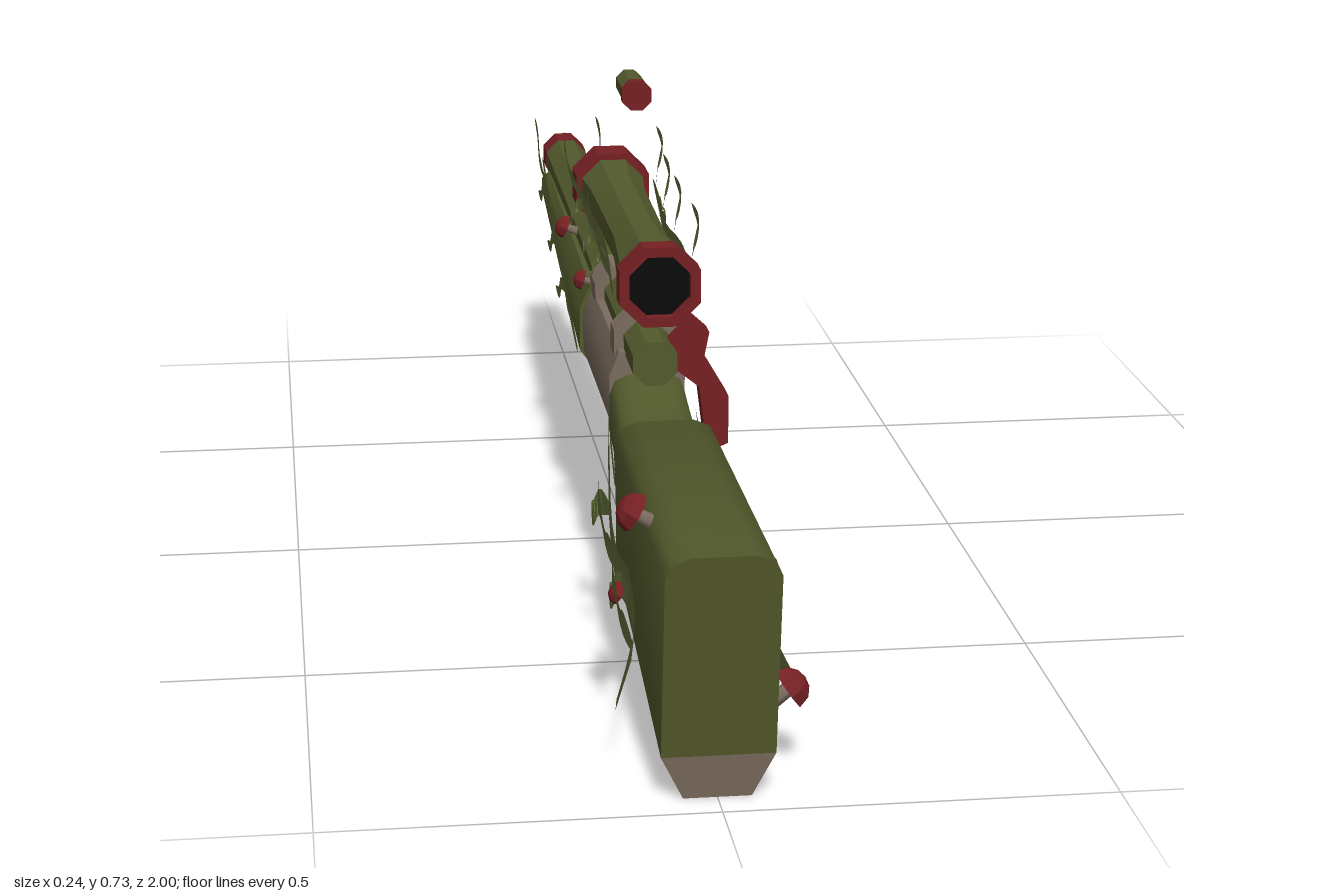
import * as THREE from 'three';
import { toCreasedNormals } from 'three/addons/utils/BufferGeometryUtils.js';

const paint = (name, color, extra = {}) => {
  const m = new THREE.MeshStandardMaterial({ color, ...extra });
  m.name = name;
  return m;
};

export function createModel() {
  const olive = paint('olive', 0x535a2c);
  const leafGreen = paint('leaf green', 0x626f3a, { side: THREE.DoubleSide });
  const brown = paint('grey brown', 0x7b6c5f);
  const red = paint('dark red', 0x752023);
  const black = paint('lens black', 0x0b0b0c);
  const model = new THREE.Group();
  model.name = 'rifle';

  const add = (name, geo, mat, parent = model) => {
    const mesh = new THREE.Mesh(geo, mat);
    mesh.name = name;
    parent.add(mesh);
    return mesh;
  };
  const flat = (geo) => toCreasedNormals(geo, 0.3);
  const points = (list) => list.map(([a, b]) => new THREE.Vector2(a, b));

  // Closed loft through rings ordered from +z to -z, each counterclockwise seen from +z
  function loft(rings) {
    const n = rings[0].length, last = (rings.length - 1) * n, idx = [];
    for (let i = 0; i < rings.length - 1; i++) {
      for (let j = 0; j < n; j++) {
        const a = i * n + j, b = i * n + (j + 1) % n;
        idx.push(a, a + n, b, b, a + n, b + n);
      }
    }
    for (let j = 1; j < n - 1; j++) idx.push(0, j, j + 1, last, last + j + 1, last + j);
    const geo = new THREE.BufferGeometry();
    geo.setAttribute('position', new THREE.Float32BufferAttribute(rings.flat(2), 3));
    geo.setIndex(idx);
    return toCreasedNormals(geo, 0.9);
  }
  // Mirrors the +x half of a ring, listed from the bottom up
  const mirror = (half) => [...half, ...half.map(([x, y, z]) => [-x, y, z]).reverse()];

  // Eight-sided turned part along z; profile is [radius, z] with z rising
  const turned = (name, profile, y, mat) => {
    const geo = new THREE.LatheGeometry(points(profile), 8);
    geo.rotateY(Math.PI / 8).rotateX(Math.PI / 2).translate(0, y, 0);
    return add(name, flat(geo), mat);
  };
  const rod = (name, z0, z1, r0, r1, y, mat) =>
    turned(name, [[0, z0], [r0, z0], [r1, z1], [0, z1]], y, mat);

  // Flat plate drawn in (z, y) and given a width across x
  const plate = (name, pts, width, mat, hole) => {
    const shape = new THREE.Shape(points(pts));
    if (hole) shape.holes.push(new THREE.Path(points(hole)));
    const geo = new THREE.ExtrudeGeometry(shape, { depth: width, bevelEnabled: false });
    geo.translate(0, 0, -width / 2).rotateY(-Math.PI / 2);
    return add(name, geo, mat);
  };

  // Stock: [z top, z bottom, y top, y seam, y bottom, half width]
  const stock = [
    [1, 0.955, 0.335, 0.062, 0.003, 0.072],
    [0.45, 0.47, 0.332, 0.135, 0.1, 0.07],
    [0.405, 0.42, 0.298, 0.145, 0.112, 0.062],
    [0.33, 0.33, 0.315, 0.19, 0.165, 0.055],
    [0.295, 0.295, 0.325, 0.24, 0.218, 0.054],
    [0.23, 0.23, 0.34, 0.255, 0.238, 0.054],
  ];
  const stockRing = ([zt, zb, t, , b], half) =>
    mirror(half.map(([x, y]) => [x, y, zb + (zt - zb) * (y - b) / (t - b)]));
  add('stock', loft(stock.map((s) => {
    const [, , t, seam, , w] = s;
    return stockRing(s, [[w, seam], [w, t - 0.028], [w * 0.87, t - 0.009], [w * 0.55, t]]);
  })), olive);
  add('stockBelly', loft(stock.map((s) => {
    const [, , , seam, b, w] = s;
    return stockRing(s, [[w * 0.6, b], [w, seam]]);
  })), brown);

  // Receiver and fore-end share one chamfered section: [z, y top, y bottom, half width]
  const body = (list) => loft(list.map(([z, t, b, w]) => {
    const h = (t - b) * 0.25;
    return mirror([[w * 0.6, b, z], [w, b + h, z], [w, t - h, z], [w * 0.75, t, z]]);
  }));
  add('receiver', body([[0.245, 0.37, 0.237, 0.054], [-0.08, 0.375, 0.25, 0.058]]), brown);
  add('foreEnd', body([[-0.08, 0.38, 0.245, 0.063], [-0.45, 0.38, 0.288, 0.058],
    [-0.87, 0.375, 0.33, 0.048]]), olive);

  // Barrel, muzzle, bolt and receiver rings
  rod('barrel', -0.93, -0.08, 0.037, 0.042, 0.382, olive);
  turned('muzzle', [[0, -1], [0.026, -1], [0.038, -0.985], [0.038, -0.93], [0, -0.93]], 0.382, red);
  rod('bolt', -0.05, 0.335, 0.034, 0.034, 0.378, olive);
  rod('rearRing', 0.18, 0.225, 0.049, 0.049, 0.378, brown);
  rod('frontRing', -0.1, -0.025, 0.049, 0.049, 0.378, brown);
  const handle = new THREE.Shape(points([[0.02, 0.39], [0.03, 0.36], [0.068, 0.33], [0.078, 0.25],
    [0.09, 0.237], [0.11, 0.245], [0.11, 0.315], [0.075, 0.375], [0.082, 0.41], [0.06, 0.43]]));
  add('boltHandle', new THREE.ExtrudeGeometry(handle, { depth: 0.034, bevelEnabled: false })
    .translate(0, 0, 0.26), red);

  // Trigger, guard and grip stub
  plate('triggerGuard', [[0.22, 0.25], [0.22, 0.155], [0.165, 0.105], [0.045, 0.105],
    [-0.012, 0.155], [-0.012, 0.255]], 0.05, brown,
  [[0.2, 0.245], [0.2, 0.162], [0.157, 0.122], [0.055, 0.122], [0.01, 0.162], [0.01, 0.245]]);
  plate('trigger', [[0.185, 0.245], [0.165, 0.195], [0.135, 0.165], [0.115, 0.18],
    [0.14, 0.21], [0.14, 0.245]], 0.026, red);
  const stub = add('gripStub', flat(new THREE.LatheGeometry(
    points([[0, 0], [0.022, 0], [0.032, 0.018], [0.042, 0.14], [0, 0.14]]), 8)), brown);
  stub.position.set(0, 0.024, 0.358);
  stub.rotation.x = 0.5;

  // Scope with open rims, recessed lenses and two mounts
  turned('scopeTube', [[0, -0.2], [0.052, -0.2], [0.044, -0.12], [0.041, 0.16],
    [0.055, 0.355], [0, 0.355]], 0.503, olive);
  const rim = (name, z0, z1) => turned(name, [[0.046, z0], [0.061, z0], [0.061, z1],
    [0.046, z1], [0.046, z0]], 0.503, red);
  rim('scopeRearRim', 0.352, 0.387);
  rim('scopeFrontRim', -0.248, -0.19);
  rod('rearLens', 0.353, 0.372, 0.047, 0.047, 0.503, black);
  rod('frontLens', -0.228, -0.191, 0.047, 0.047, 0.503, black);
  for (const z of [0.2, -0.06]) {
    add('scopeMount', new THREE.BoxGeometry(0.02, 0.07, 0.022).translate(0, 0.445, z), brown);
  }

  // Floating cartridge
  rod('cartridgeRim', 0.103, 0.12, 0.023, 0.023, 0.715, red);
  rod('cartridgeCase', 0.02, 0.104, 0.02, 0.021, 0.715, olive);
  turned('cartridgeTip', [[0, -0.032], [0.012, -0.005], [0.019, 0.021], [0, 0.021]], 0.715, brown);

  // Tapered ribbon along a curve, lying along the side of the model
  function ribbon(name, curve, width, parent) {
    const n = 12, pos = [], idx = [];
    for (let i = 0; i <= n; i++) {
      const t = i / n, p = curve.getPoint(t), d = curve.getTangent(t);
      const w = width * 0.5 * Math.pow(Math.max(0, Math.sin(Math.PI * (0.06 + 0.94 * t))), 0.6);
      const len = Math.hypot(d.y, d.z) || 1, oy = d.z / len * w, oz = -d.y / len * w;
      pos.push(p.x, p.y + oy, p.z + oz, p.x, p.y - oy, p.z - oz);
      const a = i * 2;
      if (i < n) idx.push(a, a + 1, a + 2, a + 1, a + 3, a + 2);
    }
    const geo = new THREE.BufferGeometry();
    geo.setAttribute('position', new THREE.Float32BufferAttribute(pos, 3));
    geo.setIndex(idx);
    add(name, flat(geo), leafGreen, parent);
  }

  // Vine through (x, y, z) points with curling leaves alternating up and down; reach is the leaf's extent
  function vine(path, width, leaves, reach, side, parent) {
    const flip = new THREE.Vector3(side, 1, 1), [rx, ry, rz] = reach;
    const curve = new THREE.CatmullRomCurve3(path.map((p) => new THREE.Vector3(...p).multiply(flip)));
    ribbon('vine', curve, width, parent);
    for (let k = 0; k < leaves; k++) {
      const base = curve.getPoint((k + 0.8) / (leaves + 0.6));
      const rise = k % 2 ? -0.5 * ry : ry;
      const bend = (fx, fy, fz) =>
        new THREE.Vector3(rx * fx * side, rise * fy, rz * fz).add(base);
      ribbon('leaf', new THREE.CatmullRomCurve3(
        [base, bend(0.5, 0.25, 0.45), bend(1, 0.75, 0.55), bend(0.7, 1, 1)]), width * 0.75, parent);
    }
  }

  // The same vines grow on both sides of stock, fore-end and scope
  for (const side of [1, -1]) {
    const group = new THREE.Group();
    group.name = side > 0 ? 'leftVines' : 'rightVines';
    model.add(group);
    vine([[0.118, 0.1, 0.88], [0.085, 0.15, 0.79], [0.077, 0.17, 0.67], [0.076, 0.15, 0.53],
      [0.073, 0.18, 0.42], [0.062, 0.3, 0.3]], 0.055, 4, [0.016, 0.08, -0.13], side, group);
    vine([[0.067, 0.28, -0.08], [0.067, 0.32, -0.24], [0.063, 0.34, -0.38], [0.06, 0.36, -0.55],
      [0.055, 0.385, -0.72], [0.05, 0.385, -0.87]], 0.03, 7, [0.002, 0.07, -0.15], side, group);
    vine([[0.06, 0.485, 0.34], [0.054, 0.505, 0.2], [0.051, 0.495, 0.06], [0.056, 0.51, -0.06],
      [0.062, 0.52, -0.19]], 0.03, 7, [0.016, 0.08, -0.08], side, group);
  }

  // Mushrooms: cap position x, y, z, cap radius, upward tilt
  const caps = [
    [0.098, 0.115, 0.89, 0.029, 0.7], [0.085, 0.242, 0.79, 0.017, 0.1], [0.084, 0.157, 0.59, 0.016, 0.5],
    [0.056, 0.405, -0.16, 0.021, 0.4], [0.045, 0.412, -0.62, 0.018, 0.6], [-0.085, 0.328, 0.81, 0.027, 0.6],
    [-0.084, 0.153, 0.63, 0.017, 0.5], [-0.055, 0.4, -0.37, 0.019, 0.4], [-0.056, 0.385, -0.1, 0.016, 0.3],
  ];
  const dome = points([[0, 0], [1, 0], [0.85, 0.5], [0.45, 0.82], [0, 0.92]]);
  for (const [x, y, z, r, tilt] of caps) {
    const group = new THREE.Group();
    group.name = 'mushroom';
    group.position.set(x, y, z);
    group.quaternion.setFromUnitVectors(new THREE.Vector3(0, 1, 0),
      new THREE.Vector3(Math.sign(x), tilt, 0).normalize());
    model.add(group);
    add('cap', flat(new THREE.LatheGeometry(dome, 8).scale(r, r, r)), red, group);
    add('stem', new THREE.CylinderGeometry(r * 0.32, r * 0.45, r * 1.6, 6).translate(0, -r * 0.78, 0), brown, group);
  }
  return model;
}
